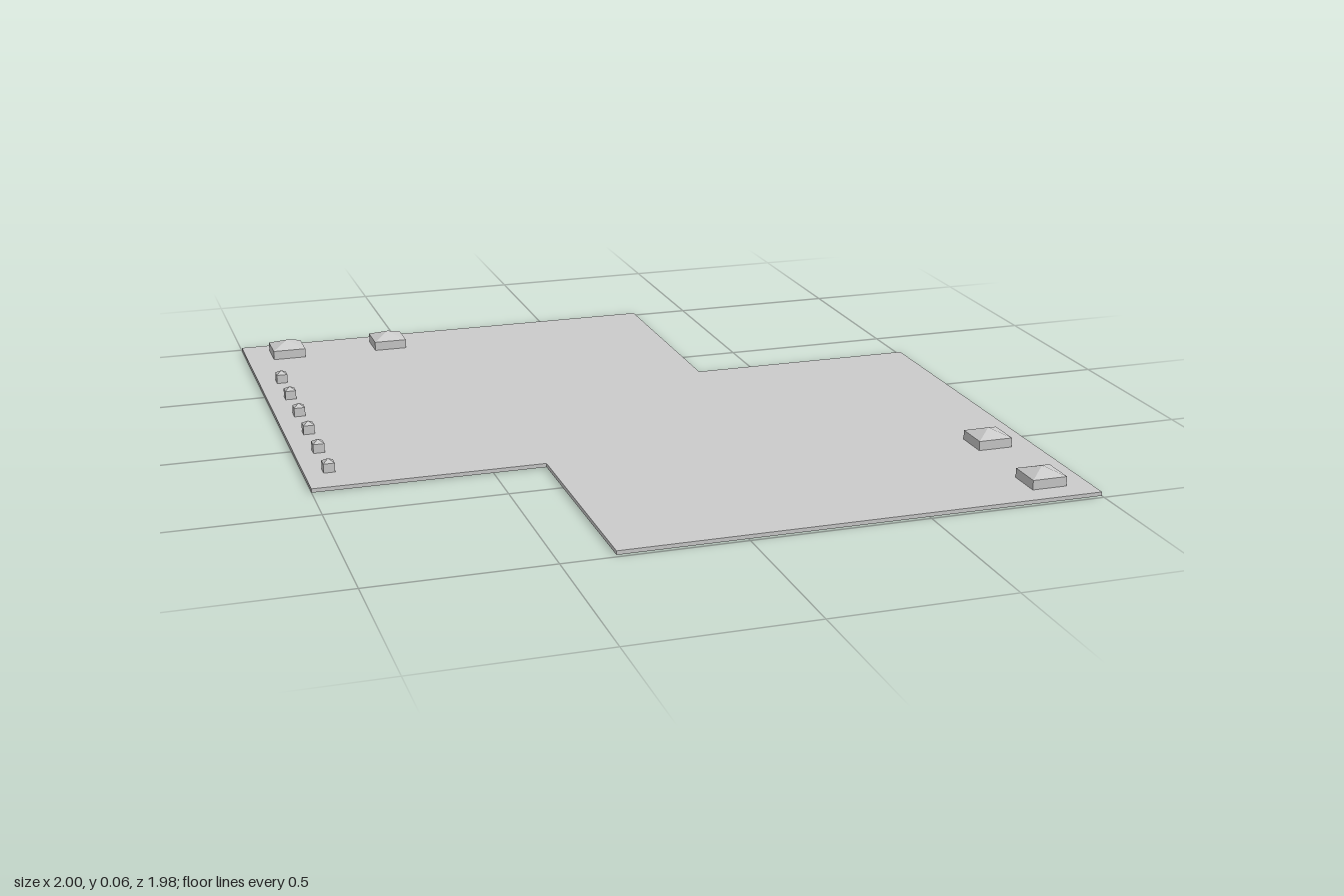
import * as THREE from 'three';

const material = new THREE.MeshStandardMaterial({ color: 0xcccccc, flatShading: true });
const GROUND = 0.011;

// Square block with a four-sided pyramid roof, standing on the ground slab
function makeHut(name, x, z, width, wallHeight, roofHeight) {
  const hut = new THREE.Group();
  hut.name = name;
  const walls = new THREE.Mesh(new THREE.BoxGeometry(width, wallHeight, width), material);
  walls.name = 'walls';
  walls.position.y = wallHeight / 2;
  const roofGeometry = new THREE.ConeGeometry(width / Math.SQRT2, roofHeight, 4, 1, true);
  roofGeometry.rotateY(Math.PI / 4);
  const roof = new THREE.Mesh(roofGeometry, material);
  roof.name = 'roof';
  roof.position.y = wallHeight + roofHeight / 2;
  hut.add(walls, roof);
  hut.position.set(x, GROUND, z);
  return hut;
}

export function createModel() {
  const model = new THREE.Group();
  model.name = 'campSite';

  // Ground slab: two overlapping squares, outline given as x, z
  const outline = [
    [-1, -0.988], [0.32, -0.988], [0.32, -0.314], [1, -0.314],
    [1, 0.988], [-0.35, 0.988], [-0.35, 0.334], [-1, 0.334],
  ];
  const shape = new THREE.Shape(outline.map(([x, z]) => new THREE.Vector2(x, -z)));
  const slab = new THREE.ExtrudeGeometry(shape, { depth: GROUND, bevelEnabled: false });
  slab.rotateX(-Math.PI / 2);
  const ground = new THREE.Mesh(slab, material);
  ground.name = 'ground';
  model.add(ground);

  // Large huts in two opposite corners
  const hutSpots = [[-0.87, -0.883], [-0.546, -0.883], [0.881, 0.549], [0.881, 0.87]];
  hutSpots.forEach(([x, z], i) => model.add(makeHut('largeHut' + (i + 1), x, z, 0.1, 0.027, 0.02)));

  // Row of small huts along the right edge
  for (let i = 0; i < 6; i++) {
    model.add(makeHut('smallHut' + (i + 1), -0.932, -0.605 + i * 0.163, 0.032, 0.026, 0.01));
  }
  return model;
}
